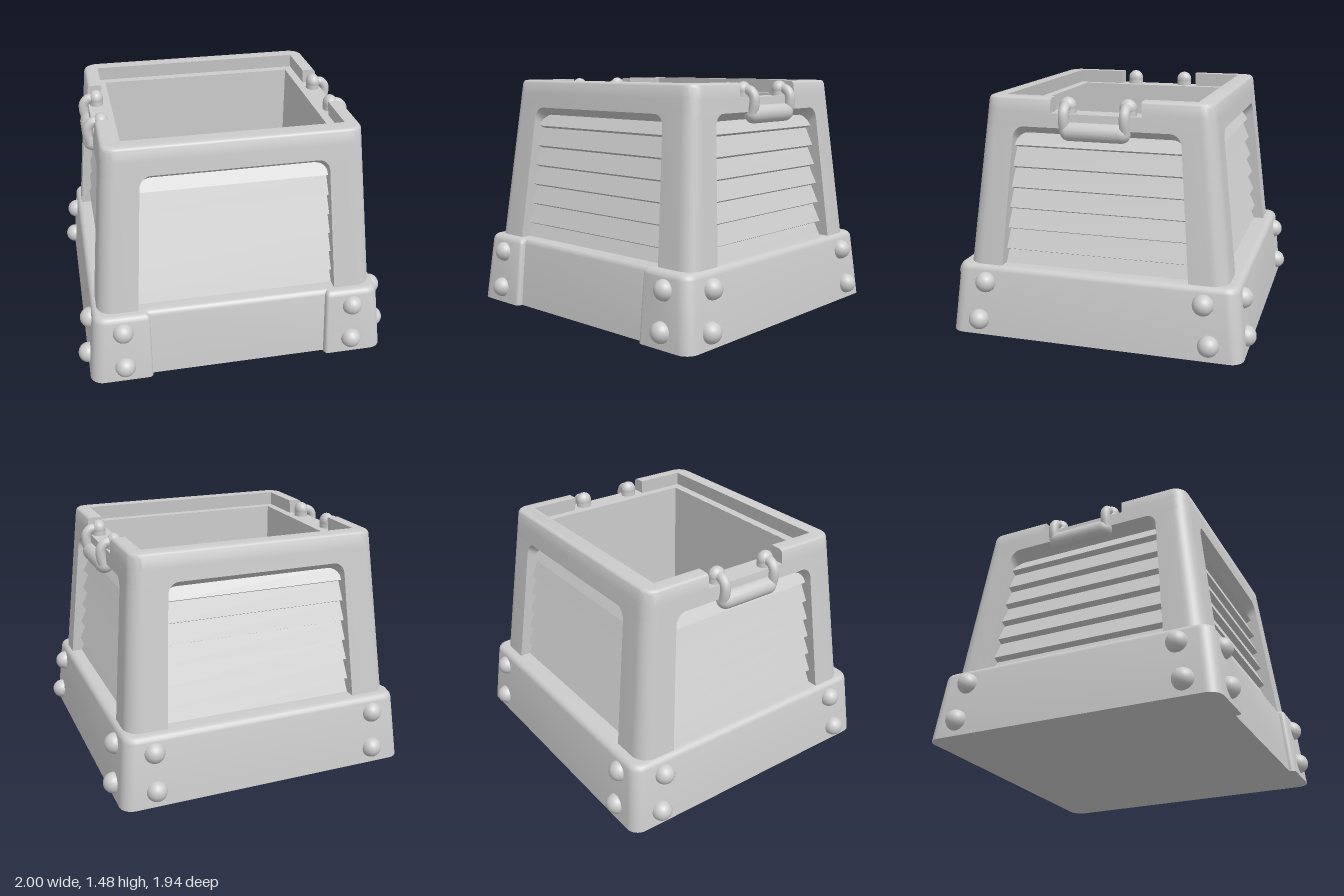
import * as THREE from 'three';
import { toCreasedNormals } from 'three/addons/utils/BufferGeometryUtils.js';

const material = new THREE.MeshStandardMaterial({ color: 0xcccccc });

// Outline from corners [x, y, radius]
function outline(points, Type = THREE.Shape) {
  const path = new Type();
  const n = points.length;
  points.forEach(([x, y, r = 0], i) => {
    const toward = ([px, py]) => {
      const d = Math.hypot(px - x, py - y);
      return [x + (px - x) / d * r, y + (py - y) / d * r];
    };
    const a = toward(points[(i + n - 1) % n]);
    const b = toward(points[(i + 1) % n]);
    if (i === 0) path.moveTo(...a); else path.lineTo(...a);
    if (r > 0) {
      const k = 0.45; // near-circular corner
      path.bezierCurveTo(a[0] + (x - a[0]) * (1 - k), a[1] + (y - a[1]) * (1 - k),
        b[0] + (x - b[0]) * (1 - k), b[1] + (y - b[1]) * (1 - k), b[0], b[1]);
    }
  });
  path.closePath();
  return path;
}

const rect = (x, z, r = 0) => [[x, z, r], [-x, z, r], [-x, -z, r], [x, -z, r]];

function moveVertices(geo, rule) {
  const p = geo.attributes.position;
  const v = new THREE.Vector3();
  for (let i = 0; i < p.count; i++) {
    rule(v.fromBufferAttribute(p, i));
    p.setXYZ(i, v.x, v.y, v.z);
  }
  return geo;
}

// Horizontal [x, z] outline raised from y0 to y1, rounded along its top edge only
function slab(points, y0, y1, { hole, bevel = 0 } = {}) {
  const flip = list => list.map(([x, z, r]) => [x, -z, r]);
  const shape = outline(flip(points));
  // holes wind against the outline so that their walls face inwards
  if (hole) shape.holes.push(outline(flip(hole).reverse(), THREE.Path));
  const geo = new THREE.ExtrudeGeometry(shape, {
    depth: y1 - y0 - bevel, curveSegments: 8, bevelEnabled: bevel > 0,
    bevelSize: bevel, bevelThickness: bevel, bevelOffset: -bevel, bevelSegments: 4,
  });
  geo.rotateX(-Math.PI / 2);
  return moveVertices(geo, v => { v.y = Math.max(v.y, 0) + y0; });
}

// The upper body narrows towards the rim
const taperBody = geo => moveVertices(geo, v => {
  v.x *= 1 - 0.104 * (v.y - 0.44);
  v.z *= 1 - 0.145 * (v.y - 0.44);
});

function add(parent, name, geo) {
  const mesh = new THREE.Mesh(toCreasedNormals(geo, 0.65), material);
  mesh.name = name;
  parent.add(mesh);
}

export function createModel() {
  const model = new THREE.Group();
  model.name = 'crate';

  // Sloping base band with a shallow step across its front
  const base = slab([
    [0.94, -0.925, 0.08], [0.94, 0.92, 0.08], [0.555, 0.92, 0.025], [0.555, 0.882],
    [-0.555, 0.882], [-0.555, 0.92, 0.025], [-0.94, 0.92, 0.08], [-0.94, -0.925, 0.08],
  ], 0, 0.44, { hole: rect(0.7, 0.6), bevel: 0.035 });
  moveVertices(base, v => {
    if (Math.abs(v.x) > 0.75) v.x -= Math.sign(v.x) * 0.1 * v.y;
    if (Math.abs(v.z) > 0.65) v.z -= Math.sign(v.z) * 0.1 * v.y;
  });
  add(model, 'baseBand', base);
  add(model, 'floor', new THREE.BoxGeometry(1.4, 0.1, 1.2).translate(0, 0.05, 0));

  // Inner walls of the bin
  add(model, 'liner', slab(rect(0.66, 0.56), 0.05, 1.384, { hole: rect(0.64, 0.54) }));

  // Four corner posts
  for (const sx of [1, -1]) for (const sz of [1, -1]) {
    const post = [[0.868, 0.818, 0.1], [0.62, 0.818], [0.62, 0.69], [0.738, 0.69],
      [0.738, 0.585], [0.868, 0.585]].map(([x, z, r]) => [x * sx, z * sz, r]);
    add(model, 'cornerPost', taperBody(slab(post, 0.4, 1.3)));
  }

  // Rim: ledge below, then a raised lip broken by a gap on either side
  add(model, 'rimLedge', taperBody(slab(rect(0.868, 0.818, 0.1), 1.3, 1.385, { hole: rect(0.71, 0.626) })));
  const bevel = 0.025, lipX = 0.768, lipZ = 0.695, gap = 0.325;
  for (const s of [1, -1]) {
    const inX = lipX - bevel, inZ = lipZ - bevel, end = gap - bevel;
    const lip = [[0.868, end], [0.868, 0.818, 0.1], [-0.868, 0.818, 0.1], [-0.868, end],
      [-inX, end], [-inX, inZ], [inX, inZ], [inX, end]].map(([x, z, r]) => [x, z * s, r]);
    const geo = slab(lip, 1.385, 1.475, { bevel });
    // only the outer edge stays rounded: inner walls and ends are squared off
    moveVertices(geo, v => {
      const ax = Math.abs(v.x), az = Math.abs(v.z);
      if (ax < lipX + 0.001 && az < lipZ + 0.001) {
        if (ax > inX - 0.005) v.x = Math.sign(v.x) * lipX;
        if (az > inZ - 0.005) v.z = s * lipZ;
      }
      if (az < gap) v.z = s * gap;
    });
    add(model, 'rimLip', taperBody(geo));
  }

  // Louvred panel and rounded upper corners in each wall opening
  const slatLines = [1.17, 1.04, 0.912, 0.785, 0.657, 0.527];
  const walls = [[0, 0.818, 0.62], [Math.PI / 2, 0.868, 0.585], [Math.PI, 0.818, 0.62], [-Math.PI / 2, 0.868, 0.585]];
  for (const [turn, face, open] of walls) {
    const inner = face - 0.095, outer = face - 0.053, back = face - 0.12;
    const profile = [[back, 1.3], [face, 1.3], [inner, 1.25]];
    for (const y of slatLines) profile.push([outer, y + 0.008], [inner, y - 0.008]);
    profile.push([outer, 0.4], [back, 0.4]);
    const width = 2 * open + 0.06;
    const slats = new THREE.ExtrudeGeometry(outline(profile), { depth: width, bevelEnabled: false });
    slats.rotateY(-Math.PI / 2).translate(width / 2, 0, 0).rotateY(turn);
    add(model, 'louvredPanel', taperBody(slats));

    for (const s of [1, -1]) {
      const corner = new THREE.Shape();
      corner.moveTo(s * open, 1.3);
      corner.lineTo(s * (open - 0.07), 1.3);
      corner.bezierCurveTo(s * (open - 0.032), 1.3, s * open, 1.268, s * open, 1.23);
      corner.closePath();
      const fillet = new THREE.ExtrudeGeometry(corner, { depth: 0.09, bevelEnabled: false });
      // the corner follows the sloping top of the opening
      moveVertices(fillet, v => { v.y -= 0.05 * (1 - v.z / 0.09); });
      fillet.translate(0, 0, face - 0.09).rotateY(turn);
      add(model, 'openingCorner', taperBody(fillet));
    }
  }

  // Domed rivets on the base
  const dome = new THREE.SphereGeometry(0.064, 24, 16);
  const rivet = (x, y, z) => add(model, 'rivet', dome.clone().translate(x, y, z));
  for (const s of [1, -1]) {
    for (const [y, inset, zSide] of [[0.337, 0.028, 0.682], [0.098, 0, 0.723]]) {
      rivet(s * 0.725, y, 0.907 - inset);
      rivet(s * 0.725, y, -0.91 + inset);
      rivet(s * (0.936 - inset), y, zSide);
      rivet(s * (0.936 - inset), y, -zSide);
    }
  }

  // Hanging handles on both sides: a thick grip carried by two hooks on studs
  for (const s of [1, -1]) {
    const handle = new THREE.Group();
    handle.name = s > 0 ? 'leftHandle' : 'rightHandle';
    handle.rotation.y = s > 0 ? 0 : Math.PI;
    model.add(handle);

    add(handle, 'grip', new THREE.CapsuleGeometry(0.055, 0.32, 8, 20).rotateX(Math.PI / 2).translate(0.79, 1.284, 0));
    for (const z of [0.185, -0.185]) {
      const path = new THREE.CatmullRomCurve3([[0.73, 1.425], [0.782, 1.425], [0.811, 1.395], [0.815, 1.35], [0.803, 1.29]]
        .map(([x, y]) => new THREE.Vector3(x, y, z)));
      add(handle, 'hook', new THREE.TubeGeometry(path, 20, 0.031, 14));
      add(handle, 'studHead', new THREE.SphereGeometry(0.052, 20, 14).scale(0.85, 1, 1).translate(0.73, 1.428, z));
      add(handle, 'studPost', new THREE.CylinderGeometry(0.05, 0.05, 0.06, 20).scale(0.85, 1, 1).translate(0.73, 1.4, z));
    }
  }
  return model;
}
